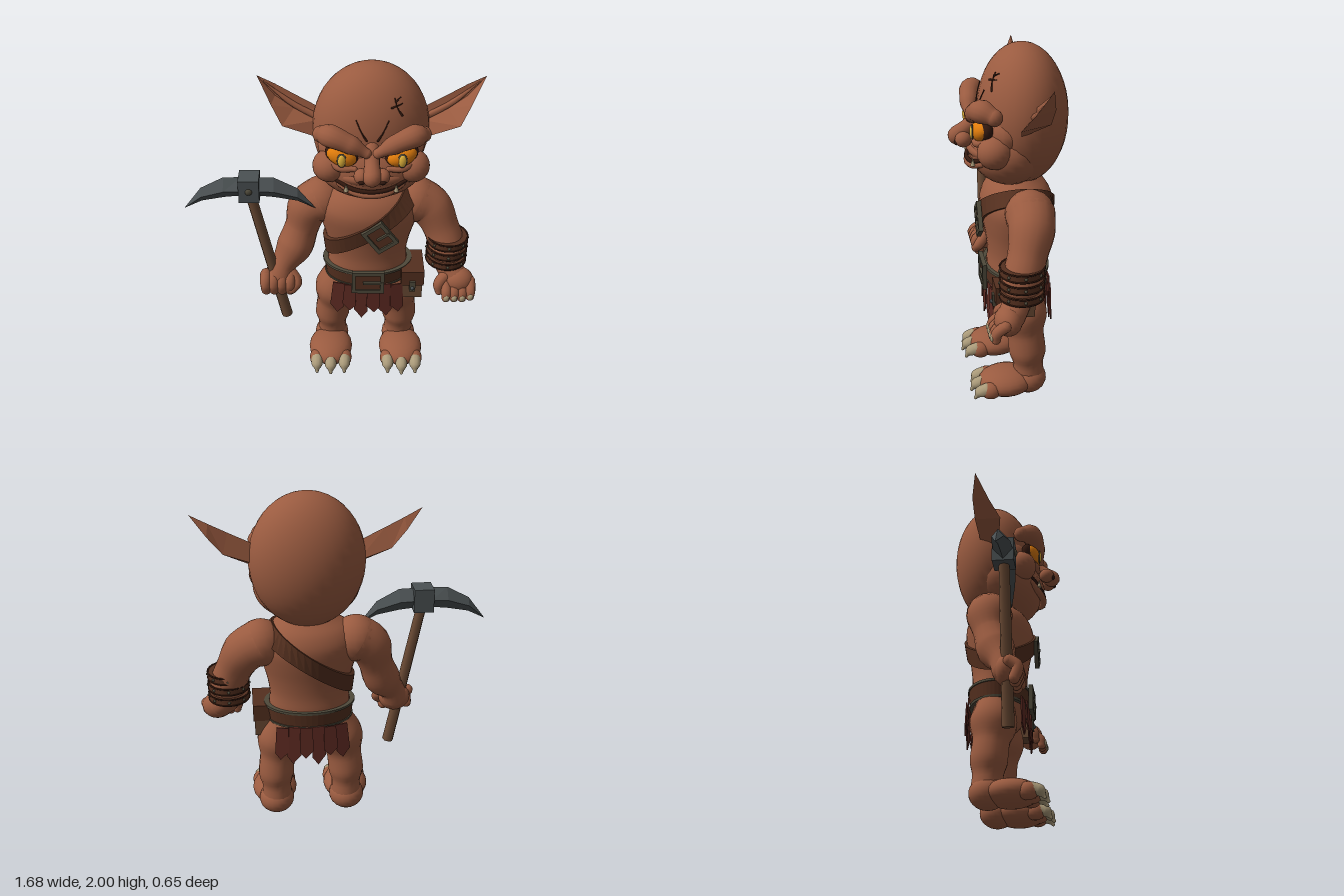
import * as THREE from 'three';
import { mergeGeometries, mergeVertices } from 'three/addons/utils/BufferGeometryUtils.js';

const mat = (name, color, side = THREE.FrontSide) => {
  const m = new THREE.MeshStandardMaterial({ color, side });
  m.name = name;
  return m;
};

export function createModel() {
  const skin = mat('skin', 0x9a5b40), leather = mat('leather', 0x55301f), cloth = mat('cloth', 0x5e2a22, THREE.DoubleSide);
  const wood = mat('wood', 0x6a4a34), metal = mat('metal', 0x4b5153), trim = mat('trim', 0x4f4a3b);
  const claw = mat('claw', 0xab9b7a), orange = mat('eyeOrange', 0xe27d0c), yellow = mat('irisYellow', 0xf0bf40), dark = mat('dark', 0x33190f);
  const root = new THREE.Group();
  root.name = 'creature';
  root.position.x = 0.2; // the body stands beside the tool, off the centre line

  const add = (name, geo, material, pos = [0, 0, 0], rot = [0, 0, 0], parent = root) => {
    const m = new THREE.Mesh(geo, material);
    m.name = name;
    m.position.set(...pos);
    m.rotation.set(...rot);
    parent.add(m);
    return m;
  };
  const ball = (name, material, pos, r, rot, n = 20) =>
    add(name, new THREE.SphereGeometry(1, n, Math.ceil(n * 0.7)).scale(...r), material, pos, rot);

  // Rounded limb through points [x, y, z, radius]
  const limb = (name, material, pts, n = 14, steps = 24) => {
    const curve = new THREE.CatmullRomCurve3(pts.map(p => new THREE.Vector3(p[0], p[1], p[2])));
    const tube = new THREE.TubeGeometry(curve, steps, 1, n);
    const pos = tube.attributes.position, v = new THREE.Vector3();
    for (let i = 0; i <= steps; i++) {
      const c = curve.getPointAt(i / steps);
      const t = curve.getUtoTmapping(i / steps) * (pts.length - 1);
      const k = Math.min(Math.floor(t), pts.length - 2), f = t - k;
      const r = THREE.MathUtils.lerp(pts[k][3], pts[k + 1][3], f * f * (3 - 2 * f));
      for (let j = 0; j <= n; j++) {
        const id = i * (n + 1) + j;
        v.fromBufferAttribute(pos, id).sub(c).multiplyScalar(r).add(c);
        pos.setXYZ(id, v.x, v.y, v.z);
      }
    }
    const ends = [pts[0], pts[pts.length - 1]].map(p => new THREE.SphereGeometry(p[3], n, 10).translate(p[0], p[1], p[2]));
    const geos = [tube, ...ends].map(g => { g.deleteAttribute('uv'); g.deleteAttribute('normal'); return g; });
    const geo = mergeVertices(mergeGeometries(geos), 1e-5);
    geo.computeVertexNormals();
    return add(name, geo, material);
  };

  // Flat-faced skin over a list of rings; loop joins the last ring to the first
  const loft = (rings, loop = false, flip = false) => {
    const n = rings[0].length, out = [];
    const tri = (a, b, c) => out.push(...a, ...(flip ? c : b), ...(flip ? b : c));
    for (let i = 0; i < rings.length - (loop ? 0 : 1); i++) for (let j = 0; j < n; j++) {
      const A = rings[i], B = rings[(i + 1) % rings.length], k = (j + 1) % n;
      tri(A[j], A[k], B[k]);
      tri(A[j], B[k], B[j]);
    }
    const g = new THREE.BufferGeometry();
    g.setAttribute('position', new THREE.Float32BufferAttribute(out, 3));
    g.computeVertexNormals();
    return g;
  };

  // Torso
  const profile = [[0.01, 0.5], [0.15, 0.54], [0.215, 0.62], [0.235, 0.72], [0.23, 0.82], [0.245, 0.92], [0.272, 1.02],
    [0.288, 1.1], [0.28, 1.16], [0.24, 1.22], [0.17, 1.27], [0.1, 1.32]];
  const depth = 0.7, midZ = -0.05;
  const radiusAt = y => {
    const i = Math.max(1, profile.findIndex(p => p[1] >= y));
    const [a, b] = [profile[i - 1], profile[i]];
    return THREE.MathUtils.lerp(a[0], b[0], THREE.MathUtils.clamp((y - a[1]) / (b[1] - a[1]), 0, 1));
  };
  const spline = new THREE.SplineCurve(profile.map(p => new THREE.Vector2(...p)));
  add('torso', new THREE.LatheGeometry(spline.getPoints(40), 36).scale(1, 1, depth), skin, [0, 0, midZ]);

  // Band hugging the torso, tilted by slope
  const band = (name, material, y0, slope, half, off, thick) => {
    const at = (a, y1, o) => {
      let u = 0.25 * Math.cos(a), y = y1;
      for (let i = 0; i < 30; i++) {
        y = y1 + slope * u;
        u = (u + (radiusAt(y) + o) * Math.cos(a)) / 2;
      }
      return [u, y, midZ + depth * (radiusAt(y) + o) * Math.sin(a)];
    };
    const rings = [];
    for (let i = 0; i < 48; i++) {
      const a = i / 48 * Math.PI * 2;
      rings.push([at(a, y0 - half, off + thick), at(a, y0 + half, off + thick), at(a, y0 + half, off - 0.01), at(a, y0 - half, off - 0.01)]);
    }
    add(name, loft(rings, true), material);
  };
  band('chestStrap', leather, 1.05, 0.745, 0.058, 0.01, 0.012);
  band('belt', leather, 0.695, 0, 0.05, 0.012, 0.014);
  for (const y of [0.648, 0.742]) band('beltEdge', trim, y, 0, 0.007, 0.014, 0.018);

  // Buckles
  const buckle = (name, w, h, pos, tilt) => {
    const g = new THREE.Group();
    g.name = name;
    g.position.set(...pos);
    g.rotation.z = tilt;
    root.add(g);
    for (const s of [-1, 1]) {
      add('buckleSide', new THREE.BoxGeometry(0.022, h, 0.025), trim, [s * (w / 2 - 0.011), 0, 0], [0, 0, 0], g);
      add('buckleBar', new THREE.BoxGeometry(w, 0.022, 0.025), trim, [0, s * (h / 2 - 0.011), 0], [0, 0, 0], g);
    }
    add('bucklePlate', new THREE.BoxGeometry(w - 0.04, h - 0.04, 0.012), leather, [0, 0, -0.004], [0, 0, 0], g);
    add('bucklePin', new THREE.BoxGeometry(w * 0.6, 0.014, 0.014), trim, [w * 0.15, 0, 0.01], [0, 0, 0], g);
  };
  buckle('beltBuckle', 0.19, 0.15, [0, 0.692, 0.14], 0);
  buckle('strapBuckle', 0.14, 0.17, [0.06, 1.04, 0.168], 0.64);

  // Belt pouch
  add('pouch', new THREE.BoxGeometry(0.12, 0.18, 0.21, 2, 2, 2), wood, [0.265, 0.64, 0.0]);
  add('pouchFlap', new THREE.BoxGeometry(0.135, 0.1, 0.222), leather, [0.265, 0.695, 0.003]);
  add('pouchClasp', new THREE.BoxGeometry(0.035, 0.07, 0.02), trim, [0.265, 0.645, 0.115]);
  ball('pouchStud', metal, [0.265, 0.635, 0.128], [0.012, 0.012, 0.01], undefined, 10);

  // Ragged loincloth strips, front and back
  const lengths = [0.22, 0.19, 0.25, 0.2, 0.24, 0.21];
  for (const s of [1, -1]) lengths.forEach((len, i) => {
    const u = -0.17 + i * 0.068;
    const shape = new THREE.Shape([[-0.035, 0], [-0.042, -len * 0.75], [-0.02, -len * 0.86], [0.004, -len], [0.038, -len * 0.8], [0.035, 0]]
      .map(p => new THREE.Vector2(...p)));
    const z = s > 0 ? 0.115 - u * u * 0.6 : -0.23 + u * u * 0.6;
    add('clothStrip', new THREE.ExtrudeGeometry(shape, { depth: 0.008, bevelEnabled: false }), cloth,
      [u, 0.655, z + (i % 2) * 0.009 * s], [s * -0.04, s * u, -u * 0.35 * -1]);
  });

  // Head
  ball('skull', skin, [0, 1.62, -0.08], [0.32, 0.38, 0.245], undefined, 32);
  ball('jaw', skin, [0, 1.445, 0], [0.3, 0.205, 0.213], undefined, 28);
  ball('face', skin, [0, 1.56, 0.03], [0.29, 0.16, 0.14], undefined, 24);
  ball('muzzle', skin, [0, 1.445, 0.14], [0.18, 0.055, 0.085]);
  limb('nose', skin, [[0, 1.63, 0.13, 0.045], [0, 1.56, 0.21, 0.042], [0, 1.51, 0.272, 0.05]]);
  const lip = dy => [[-0.185, 1.425], [-0.1, 1.395], [0, 1.387], [0.1, 1.395], [0.185, 1.425]]
    .map(([u, y]) => [u, y + dy, 0.222 - u * u * 1.75]);
  limb('mouthLine', dark, lip(0).map(p => [...p, 0.012]), 8);
  limb('lowerLip', skin, lip(-0.025).map(p => [p[0] * 0.9, p[1], p[2] - 0.005, 0.02]), 10);
  const skullZ = (u, y) => -0.078 + 0.245 * Math.sqrt(1 - (u / 0.32) ** 2 - ((y - 1.62) / 0.38) ** 2);
  const mark = (name, ...pts) => limb(name, dark, pts.map(([u, y], i) => [u, y, skullZ(u, y), i ? 0.003 : 0.006]), 6, 6);
  mark('scar', [0.155, 1.79], [0.13, 1.83], [0.115, 1.875]);
  mark('scarStitch', [0.1, 1.835], [0.155, 1.845]);
  mark('scarStitch', [0.12, 1.86], [0.145, 1.875]);

  for (const s of [-1, 1]) {
    limb('brow', skin, [[s * 0.27, 1.68, 0.11, 0.045], [s * 0.22, 1.7, 0.165, 0.062], [s * 0.12, 1.665, 0.19, 0.052], [s * 0.03, 1.615, 0.2, 0.028]]);
    ball('cheek', skin, [s * 0.225, 1.48, 0.1], [0.093, 0.09, 0.095]);
    ball('eyeRim', dark, [s * 0.16, 1.58, 0.15], [0.092, 0.066, 0.045], [0, s * 0.2, s * 0.3]);
    ball('eye', orange, [s * 0.16, 1.58, 0.165], [0.082, 0.056, 0.05], [0, s * 0.2, s * 0.3]);
    ball('irisRim', trim, [s * 0.16, 1.577, 0.21], [0.026, 0.043, 0.009]);
    ball('iris', yellow, [s * 0.16, 1.577, 0.213], [0.02, 0.036, 0.011]);
    limb('lowerLid', skin, [[s * 0.25, 1.545, 0.12, 0.015], [s * 0.17, 1.515, 0.185, 0.02], [s * 0.09, 1.515, 0.195, 0.015]], 10);
    ball('noseWing', skin, [s * 0.055, 1.503, 0.245], [0.042, 0.042, 0.045]);
    ball('nostril', dark, [s * 0.055, 1.488, 0.283], [0.02, 0.014, 0.012], undefined, 10);
    add('tooth', new THREE.ConeGeometry(0.014, 0.045, 8), claw, [s * 0.135, 1.405, 0.205]);
    mark('frown', [s * 0.03, 1.67], [s * 0.06, 1.72], [s * 0.085, 1.775]);

    // Pointed ear: rings of top edge, inner fold, front edge and back ridge
    const ear = [
      [[0.27, 1.72, -0.1], [0.27, 1.66, -0.08], [0.27, 1.57, -0.03], [0.27, 1.62, -0.13]],
      [[0.42, 1.8, -0.115], [0.42, 1.72, -0.1], [0.48, 1.67, 0.01], [0.45, 1.69, -0.145]],
      [[0.52, 1.855, -0.125], [0.52, 1.79, -0.115], [0.54, 1.765, -0.05], [0.53, 1.79, -0.15]],
      [[0.615, 1.905, -0.122], [0.615, 1.905, -0.122], [0.615, 1.905, -0.122], [0.615, 1.905, -0.122]],
    ].map(r => r.map(p => [s * p[0], p[1], p[2]]));
    add('ear', loft(ear, false, s < 0), skin);
    limb('earRidge', skin, [[s * 0.3, 1.68, -0.085, 0.018], [s * 0.43, 1.75, -0.1, 0.016], [s * 0.58, 1.87, -0.122, 0.004]], 6, 8);

    // Leg and clawed foot
    limb('leg', skin, [[s * 0.13, 0.64, -0.06, 0.11], [s * 0.18, 0.5, -0.065, 0.135], [s * 0.2, 0.38, -0.075, 0.104],
      [s * 0.21, 0.28, -0.085, 0.106], [s * 0.21, 0.19, -0.09, 0.086], [s * 0.21, 0.11, -0.095, 0.09]], 18);
    ball('heel', skin, [s * 0.213, 0.095, -0.09], [0.105, 0.09, 0.105]);
    ball('foot', skin, [s * 0.22, 0.09, 0.04], [0.135, 0.08, 0.16]);
    for (const i of [-1, 0, 1]) {
      const u = s * 0.22 + i * 0.085, z = 0.165 - Math.abs(i) * 0.012;
      ball('toe', skin, [u, 0.08, z - 0.015], [0.047, 0.05, 0.06], undefined, 14);
      limb('toeClaw', claw, [[u, 0.088, z + 0.01, 0.038], [u, 0.078, z + 0.045, 0.035], [u, 0.042, z + 0.074, 0.01]], 10, 8);
    }
  }

  // Arms
  limb('leftArm', skin, [[0.27, 1.14, -0.08, 0.135], [0.35, 1.1, -0.075, 0.125], [0.43, 0.96, -0.035, 0.105],
    [0.465, 0.85, -0.005, 0.108], [0.475, 0.74, 0.02, 0.075], [0.52, 0.68, 0.06, 0.075]], 18);
  limb('rightArm', skin, [[-0.27, 1.14, -0.08, 0.135], [-0.34, 1.1, -0.075, 0.125], [-0.39, 0.96, -0.05, 0.1],
    [-0.43, 0.85, -0.02, 0.108], [-0.5, 0.74, 0.03, 0.075], [-0.52, 0.68, 0.05, 0.08]], 18);

  // Left hand
  ball('leftPalm', skin, [0.54, 0.665, 0.08], [0.09, 0.08, 0.075]);
  for (let i = 0; i < 4; i++) {
    const u = 0.465 + i * 0.047, y = 0.012 * (i === 3);
    limb('leftFinger', skin, [[u, 0.66 + y, 0.1, 0.032], [u, 0.62 + y, 0.15, 0.03], [u, 0.585 + y, 0.155, 0.026]], 10, 8);
    ball('fingernail', claw, [u, 0.598 + y, 0.174], [0.018, 0.024, 0.014], undefined, 10);
  }
  limb('leftThumb', skin, [[0.46, 0.7, 0.08, 0.035], [0.42, 0.66, 0.11, 0.032], [0.425, 0.61, 0.12, 0.025]], 10, 8);

  // Right hand, fingers wrapped around the handle
  ball('rightPalm', skin, [-0.52, 0.675, 0.045], [0.095, 0.085, 0.06]);
  for (let i = 0; i < 4; i++) {
    const u = -0.605 + i * 0.048;
    limb('rightFinger', skin, [[u, 0.7, 0.075, 0.034], [u, 0.665, 0.12, 0.033], [u, 0.6, 0.1, 0.031]], 10, 8);
  }
  limb('rightThumb', skin, [[-0.46, 0.71, 0.06, 0.035], [-0.42, 0.66, 0.1, 0.032], [-0.45, 0.62, 0.12, 0.028]], 10, 8);

  // Bracelets on the left forearm
  for (let i = 0; i < 3; i++) {
    const y = 0.918 - i * 0.068;
    add('bracelet', new THREE.CylinderGeometry(0.118, 0.118, 0.036, 28), leather, [0.465, y, -0.004]);
    for (const d of [-0.019, 0.019]) add('braceletEdge', new THREE.TorusGeometry(0.117, 0.005, 6, 28), dark, [0.465, y + d, -0.004], [Math.PI / 2, 0, 0]);
    for (let k = 0; k < 8; k++) {
      const a = k * Math.PI / 4 + Math.PI / 2;
      ball('rivet', trim, [0.465 + 0.118 * Math.cos(a), y, -0.004 + 0.118 * Math.sin(a)], [0.009, 0.009, 0.009], undefined, 8);
    }
  }

  // Pickaxe
  const top = new THREE.Vector3(-0.675, 1.29, 0.055), foot = new THREE.Vector3(-0.488, 0.37, 0.055);
  const mid = top.clone().add(foot).multiplyScalar(0.5);
  add('handle', new THREE.CylinderGeometry(0.03, 0.034, top.distanceTo(foot), 8).toNonIndexed(), wood, mid.toArray(), [0, 0, Math.atan2(foot.x - top.x, top.y - foot.y)]);
  add('pickBlock', new THREE.BoxGeometry(0.115, 0.14, 0.12), metal, [-0.672, 1.31, 0.055]);
  ball('pickRivet', trim, [-0.672, 1.312, 0.117], [0.02, 0.02, 0.012], undefined, 12);
  for (const s of [-1, 1]) {
    const rings = [[0.04, 1.372, 1.25, 0.055], [0.14, 1.37, 1.24, 0.05], [0.27, 1.3, 1.215, 0.032], [0.37, 1.167, 1.165, 0.002]]
      .map(([d, t, b, w]) => {
        const x = -0.675 + s * d, m = (t + b) / 2;
        return [[x, t, 0.055], [x, m, 0.055 + w], [x, b, 0.055], [x, m, 0.055 - w]];
      });
    add('pickBlade', loft(rings, false, s < 0), metal);
  }
  return root;
}
